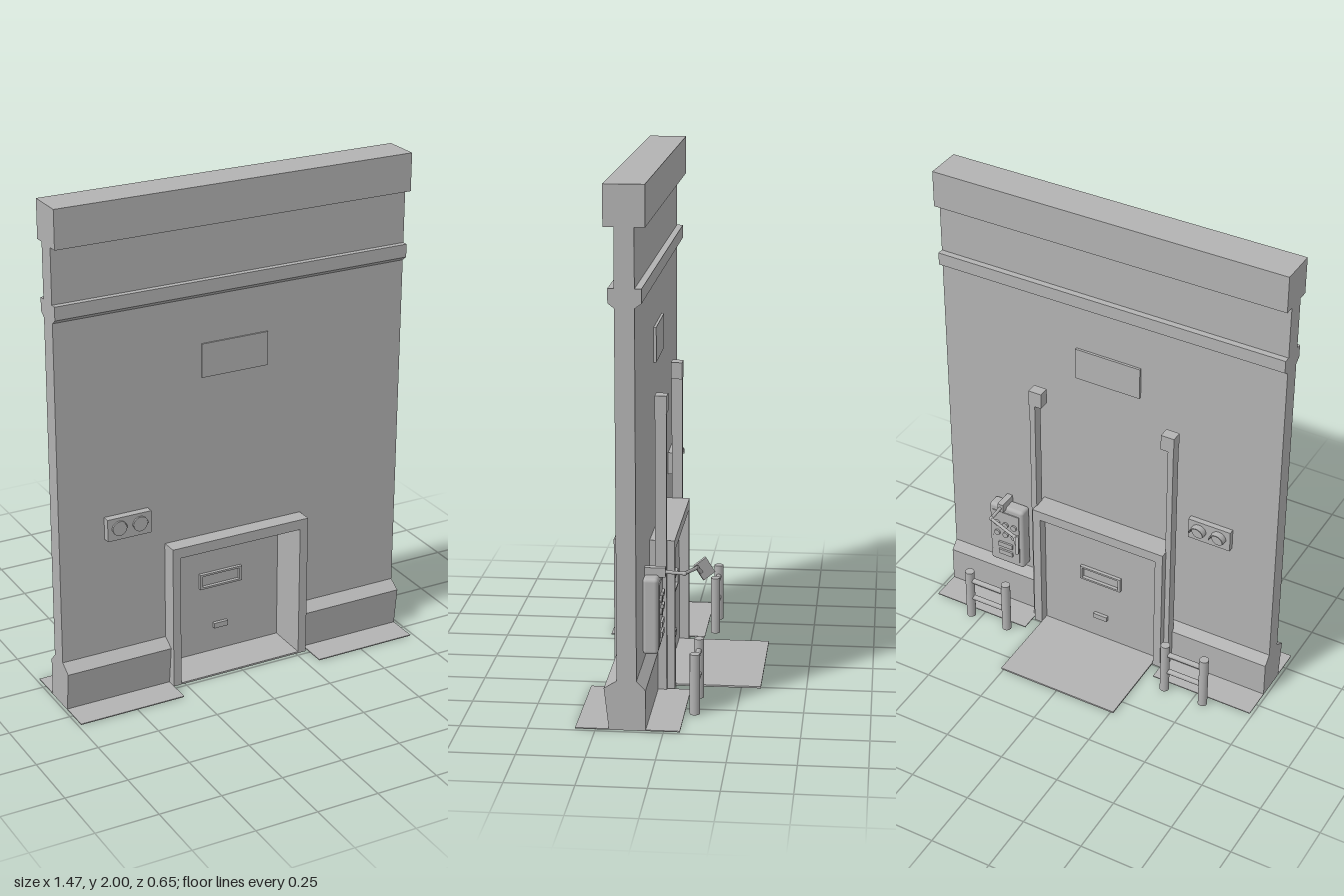
import * as THREE from 'three';
import { RoundedBoxGeometry } from 'three/addons/geometries/RoundedBoxGeometry.js';

const grey = new THREE.MeshStandardMaterial({ color: 0xb2b2b2 });
grey.name = 'plain grey';

export function createModel() {
  const model = new THREE.Group();
  model.name = 'loadingDockWall';

  const add = (name, geometry, parent = model) => {
    const mesh = new THREE.Mesh(geometry, grey);
    mesh.name = name;
    parent.add(mesh);
    return mesh;
  };
  const group = (name) => {
    const g = new THREE.Group();
    g.name = name;
    model.add(g);
    return g;
  };
  // Box given by its limits on each axis
  const box = (name, x0, x1, y0, y1, z0, z1, parent) =>
    add(name, new THREE.BoxGeometry(x1 - x0, y1 - y0, z1 - z0)
      .translate((x0 + x1) / 2, (y0 + y1) / 2, (z0 + z1) / 2), parent);
  // Profile of [z, y] points drawn out along x
  const prism = (name, points, x0, x1) => {
    const shape = new THREE.Shape(points.map(([z, y]) => new THREE.Vector2(-z, y)));
    const geo = new THREE.ExtrudeGeometry(shape, { depth: x1 - x0, bevelEnabled: false });
    return add(name, geo.rotateY(Math.PI / 2).translate(x0, 0, 0));
  };
  // Outline of [x, y] points, with an optional hole, drawn out along z
  const slab = (name, outer, hole, z0, z1, parent) => {
    const toVectors = (pts) => pts.map(([x, y]) => new THREE.Vector2(x, y));
    const shape = new THREE.Shape(toVectors(outer));
    if (hole) shape.holes.push(new THREE.Path(toVectors(hole)));
    const geo = new THREE.ExtrudeGeometry(shape, { depth: z1 - z0, bevelEnabled: false });
    return add(name, geo.translate(0, 0, z0), parent);
  };
  const rod = (name, a, b, r, parent, sides = 16) => {
    const from = new THREE.Vector3(...a), to = new THREE.Vector3(...b);
    const mesh = add(name, new THREE.CylinderGeometry(r, r, from.distanceTo(to), sides), parent);
    mesh.position.copy(from).add(to).multiplyScalar(0.5);
    mesh.quaternion.setFromUnitVectors(new THREE.Vector3(0, 1, 0), to.sub(from).normalize());
    return mesh;
  };

  // Wall with doorway, cap and moulding
  slab('wall', [[-0.738, 0], [-0.3, 0], [-0.3, 0.58], [0.305, 0.58], [0.305, 0],
    [0.735, 0], [0.735, 1.9], [-0.738, 1.9]], null, 0.098, 0.17);
  box('wallCap', -0.738, 0.735, 1.85, 2, 0.06, 0.208);
  prism('moulding', [[0.17, 1.565], [0.193, 1.583], [0.193, 1.635], [0.073, 1.635],
    [0.073, 1.583], [0.098, 1.565]], -0.738, 0.735);

  // Plinths and ground pads on either side of the doorway
  for (const [x0, x1] of [[-0.738, -0.3], [0.305, 0.735]]) {
    prism('plinth', [[0.2, 0], [0.218, 0.16], [0.17, 0.19], [0.098, 0.19],
      [0.065, 0.155], [0.065, 0]], x0, x1);
    box('groundPad', x0, x1, 0, 0.004, -0.06, 0.325);
  }

  // Door frame, door and dock plate
  slab('doorFrame', [[-0.298, 0], [-0.265, 0], [-0.265, 0.55], [0.26, 0.55], [0.26, 0],
    [0.295, 0], [0.295, 0.592], [-0.298, 0.592]], null, 0.003, 0.235);
  box('door', -0.265, 0.26, 0.004, 0.55, 0.042, 0.06);
  box('dockPlate', -0.262, 0.26, 0, 0.007, -0.325, 0.235);

  // Door window rim and pull handle, on both faces
  for (const [z0, z1] of [[0.028, 0.042], [0.06, 0.074]]) {
    slab('doorWindowRim', [[-0.095, 0.297], [0.09, 0.297], [0.09, 0.361], [-0.095, 0.361]],
      [[-0.085, 0.305], [-0.085, 0.353], [0.08, 0.353], [0.08, 0.305]], z0, z1);
    box('doorHandle', -0.033, 0.028, 0.11, 0.132, z0, z1);
  }

  // Sign panel showing on both sides of the wall
  box('signPanel', -0.14, 0.14, 1.245, 1.38, 0.088, 0.176);

  // Door guide rails with end blocks
  for (const x of [-0.293, 0.29]) {
    const rail = group('guideRail');
    const side = Math.sign(x);
    box('railFin', x + side * 0.014 - 0.012, x + side * 0.014 + 0.012, 0, 1.1, 0.032, 0.075, rail);
    box('railEndBlock', x - 0.028, x + 0.028, 1.09, 1.157, 0.03, 0.075, rail);
  }

  // Signal light box passing through the wall, two lamps per side
  const signal = group('signalLight');
  box('signalHousing', -0.552, -0.37, 0.67, 0.76, 0.075, 0.2, signal);
  for (const x of [-0.503, -0.417]) {
    rod('signalLens', [x, 0.715, 0.068], [x, 0.715, 0.205], 0.028, signal, 24);
    // Half-round hoods
    for (const [z, depth] of [[0.061, 0.028], [0.203, 0.009]]) {
      const hood = new THREE.Shape();
      hood.absarc(0, 0, 0.032, 0, Math.PI, false);
      hood.absarc(0, 0, 0.028, Math.PI, 0, true);
      const geo = new THREE.ExtrudeGeometry(hood, { depth, bevelEnabled: false, curveSegments: 12 });
      add('signalHood', geo.translate(x, 0.715, z - depth / 2), signal);
    }
  }

  // Control box with buttons and switches
  const control = group('controlBox');
  add('controlCase', new RoundedBoxGeometry(0.16, 0.295, 0.058, 3, 0.014), control)
    .position.set(0.447, 0.365, 0.071);
  box('controlFace', 0.385, 0.51, 0.245, 0.485, 0.038, 0.046, control);
  for (const y of [0.375, 0.425]) {
    for (const x of [0.407, 0.447, 0.487]) {
      rod('controlButton', [x, y, 0.03], [x, y, 0.042], 0.013, control);
    }
  }
  for (const y of [0.28, 0.32]) {
    box('controlSwitch', 0.415, 0.48, y - 0.011, y + 0.011, 0.03, 0.042, control);
  }

  // Swing-arm dock lamp
  const lamp = group('dockLamp');
  box('lampBracket', 0.447, 0.473, 0.503, 0.54, 0.02, 0.1, lamp);
  const joints = [[0.46, 0.522, 0.03], [0.46, 0.517, -0.05], [0.33, 0.5, -0.085], [0.31, 0.475, -0.1]];
  for (let i = 0; i < 3; i++) rod('lampArm', joints[i], joints[i + 1], 0.007, lamp, 10);
  for (const p of joints.slice(1, 3)) {
    add('lampJoint', new THREE.SphereGeometry(0.009, 12, 8), lamp).position.set(...p);
  }
  const head = add('lampHead', new THREE.BoxGeometry(0.012, 0.072, 0.055), lamp);
  head.position.set(0.3, 0.488, -0.11);
  head.rotation.set(0.55, 0.49, 0, 'YXZ');

  // Guard rails standing behind the wall
  for (const side of [-1, 1]) {
    const guard = group('guardRail');
    const xs = [0.372 * side, 0.545 * side];
    for (const x of xs) rod('guardPost', [x, 0, -0.097], [x, 0.235, -0.097], 0.019, guard, 20);
    for (const y of [0.1, 0.19]) {
      rod('guardBar', [xs[0], y, -0.097], [xs[1], y, -0.097], 0.011, guard, 14);
    }
  }

  return model;
}
